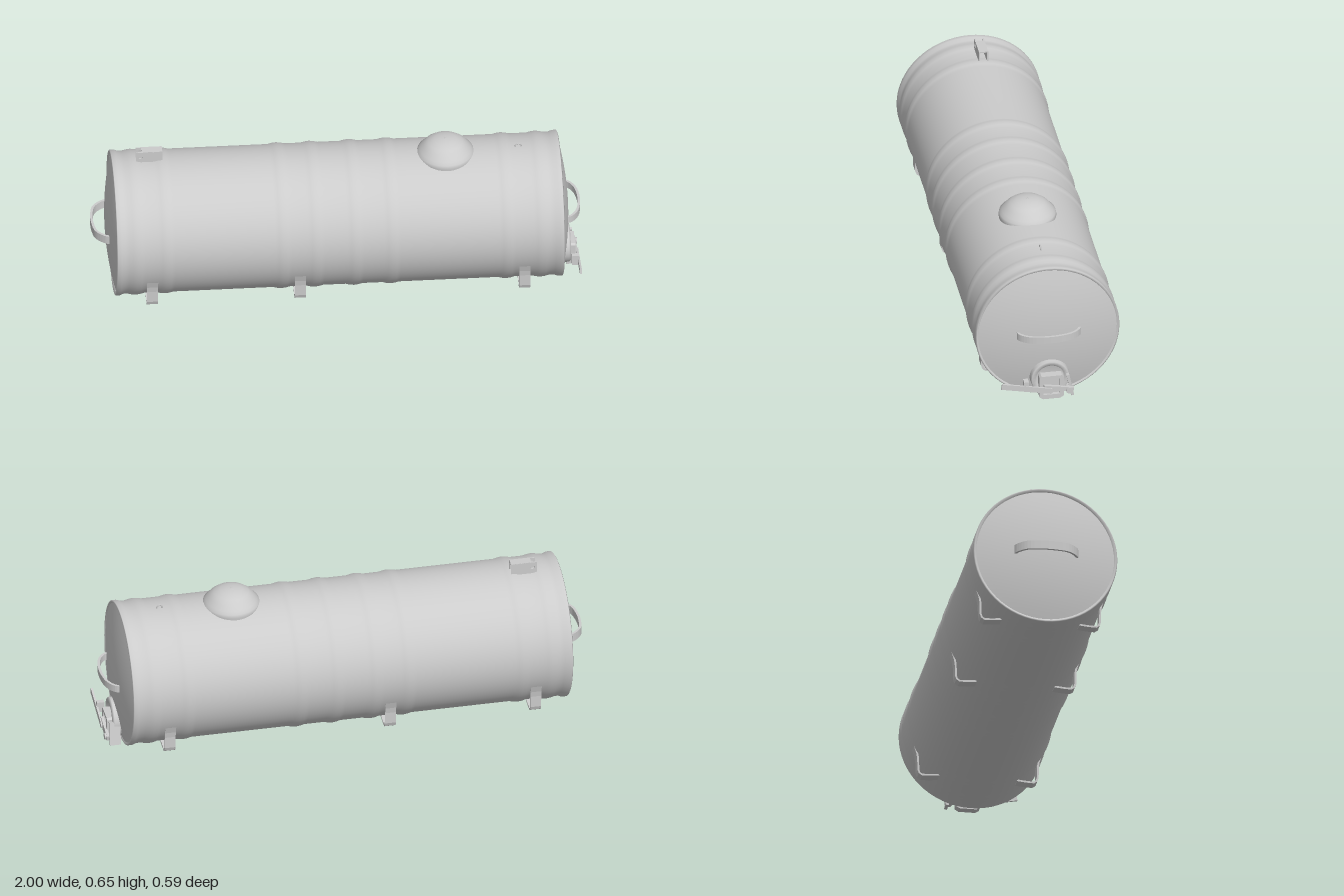
import * as THREE from 'three';

const AXIS_Y = 0.3, R = 0.291;
const mat = new THREE.MeshStandardMaterial({ color: 0xcccccc, side: THREE.DoubleSide });
const V = (p) => new THREE.Vector2(p[0], p[1]);

function add(parent, name, geo, x = 0, y = 0, z = 0) {
  const m = new THREE.Mesh(geo, mat);
  m.name = name;
  m.position.set(x, y, z);
  parent.add(m);
  return m;
}

// Lathe turned so its axis runs along x; points are [radius, x]
function latheX(points, seg = 64) {
  return new THREE.LatheGeometry(points.map(V), seg).rotateZ(-Math.PI / 2);
}

// Flat strap: a path thickened by t and extruded to width w
function strap(path, t, w) {
  const p = path.map(V);
  const side = (s) => p.map((q, i) => {
    const d = p[Math.min(i + 1, p.length - 1)].clone().sub(p[Math.max(i - 1, 0)]).normalize();
    return new THREE.Vector2(q.x - d.y * s * t / 2, q.y + d.x * s * t / 2);
  });
  const shape = new THREE.Shape([...side(1), ...side(-1).reverse()]);
  return new THREE.ExtrudeGeometry(shape, { depth: w, bevelEnabled: false }).translate(0, 0, -w / 2);
}

function createBody(g) {
  // Shell with shallow rolled ribs and a rim at both ends
  const ribs = [-0.83, -0.71, -0.235, -0.1, 0.06, 0.21, 0.68, 0.82];
  const profile = [[0.284, -0.908], [0.292, -0.915], [0.297, -0.912], [0.297, -0.895], [R, -0.88]];
  for (const x of ribs) {
    for (const [dx, dr] of [[-0.034, 0], [-0.018, 0.004], [0, 0.006], [0.018, 0.004], [0.034, 0]]) {
      profile.push([R + dr, x + dx]);
    }
  }
  profile.push([R, 0.875], [0.297, 0.89], [0.297, 0.908], [0.292, 0.911], [0.284, 0.904]);
  add(g, 'tankShell', latheX(profile), 0, AXIS_Y, 0);

  // Dished ends
  for (const s of [-1, 1]) {
    const pts = [];
    for (let i = 0; i <= 10; i++) {
      const r = 0.287 * i / 10;
      pts.push([r, s * (0.943 - 0.037 * (r / 0.287) ** 2)]);
    }
    if (s > 0) pts.reverse();
    add(g, s > 0 ? 'leftEnd' : 'rightEnd', latheX(pts), 0, AXIS_Y, 0);
  }
}

function createValve() {
  const v = new THREE.Group();
  v.name = 'outletValve';
  // Outlet collar and its raised lip
  add(v, 'collar', latheX([[0.082, 0.89], [0.08, 0.945], [0.076, 0.952], [0.06, 0.952], [0.056, 0.938], [0, 0.938]], 28), 0, 0.098, -0.004);
  // Square gate frame
  const frame = new THREE.Shape([[-0.05, -0.045], [-0.035, -0.055], [0.035, -0.055], [0.05, -0.045], [0.05, 0.045], [0.042, 0.052], [-0.042, 0.052], [-0.05, 0.045]].map(V));
  frame.holes.push(new THREE.Path([[-0.034, -0.035], [-0.034, 0.038], [0.034, 0.038], [0.034, -0.035]].map(V)));
  const fg = new THREE.ExtrudeGeometry(frame, { depth: 0.035, bevelEnabled: false }).rotateY(Math.PI / 2);
  add(v, 'gateFrame', fg, 0.937, 0.068, -0.006);
  add(v, 'gatePlate', new THREE.BoxGeometry(0.014, 0.075, 0.07), 0.95, 0.068, -0.006);
  // Lever, its pivots and the end clamp
  const lever = add(v, 'lever', new THREE.BoxGeometry(0.008, 0.024, 0.21), 0.982, 0.077, 0.1);
  lever.rotation.x = -0.2;
  const link = add(v, 'link', new THREE.BoxGeometry(0.012, 0.02, 0.125), 0.975, 0.062, -0.034);
  link.rotation.x = -0.17;
  for (const [y, z, r] of [[0.058, 0, 0.011], [0.052, -0.076, 0.013]]) {
    add(v, 'pivot', new THREE.CylinderGeometry(r, r, 0.055, 12).rotateZ(Math.PI / 2), 0.96, y, z);
  }
  const clamp = add(v, 'clamp', new THREE.BoxGeometry(0.045, 0.1, 0.012), 0.945, 0.066, -0.084);
  clamp.rotation.x = 0.2;
  add(v, 'leverStop', new THREE.BoxGeometry(0.03, 0.045, 0.02), 0.968, 0.085, 0.1);
  return v;
}

export function createModel() {
  const g = new THREE.Group();
  g.name = 'tank';
  createBody(g);

  // Manway dome with its small tip
  const dome = [[0.112, 0.53], [0.118, 0.575], [0.115, 0.59], [0.104, 0.6], [0.09, 0.618], [0.07, 0.634], [0.045, 0.644], [0.02, 0.648], [0, 0.649]];
  add(g, 'dome', new THREE.LatheGeometry(dome.map(V), 40), 0.445, 0, 0);
  add(g, 'domeTip', new THREE.ConeGeometry(0.006, 0.012, 8), 0.445, 0.651, 0);

  // Hollow bracket on top
  const bracket = new THREE.Group();
  bracket.name = 'topBracket';
  for (const z of [-0.043, -0.009]) {
    const wall = new THREE.Shape([[-0.815, 0.58], [-0.708, 0.58], [-0.708, 0.638], [-0.815, 0.638]].map(V));
    const hole = new THREE.Path();
    hole.absarc(-0.797, 0.617, 0.01, 0, Math.PI * 2, true);
    wall.holes.push(hole);
    add(bracket, 'bracketWall', new THREE.ExtrudeGeometry(wall, { depth: 0.005, bevelEnabled: false }), 0, 0, z - 0.0025);
  }
  add(bracket, 'bracketTop', new THREE.BoxGeometry(0.085, 0.005, 0.038), -0.7505, 0.6365, -0.026);
  g.add(bracket);

  // Small lifting eye
  add(g, 'liftingEye', new THREE.TorusGeometry(0.012, 0.003, 6, 16), 0.742, 0.593, 0);

  // Curved grab handles on both ends
  for (const [s, reach, h] of [[1, 0.987, 0.03], [-1, 0.996, 0.036]]) {
    const path = new THREE.CatmullRomCurve3([[0.925, -0.13], [0.95, -0.12], [reach - 0.012, -0.085], [reach, -0.03], [reach, 0.03], [reach - 0.012, 0.085], [0.95, 0.12], [0.925, 0.13]]
      .map(([x, z]) => new THREE.Vector3(s * x, z, 0))).getPoints(28).map((p) => [p.x, p.y]);
    add(g, s > 0 ? 'leftHandle' : 'rightHandle', strap(path, 0.01, h).rotateX(Math.PI / 2), 0, 0.306, 0);
  }

  // Strap feet along both lower sides
  const foot = [[0.262, 0.185], [0.251, 0.15], [0.247, 0.125], [0.246, 0.075], [0.241, 0.061], [0.23, 0.053], [0.2, 0.054], [0.16, 0.058]];
  for (const x of [-0.768, -0.165, 0.75]) {
    for (const s of [1, -1]) {
      const geo = strap(foot.map(([z, y]) => [s * z, y]), 0.008, 0.045).rotateY(-Math.PI / 2);
      add(g, s > 0 ? 'frontFoot' : 'backFoot', geo, x, 0, 0);
    }
  }

  g.add(createValve());
  return g;
}
